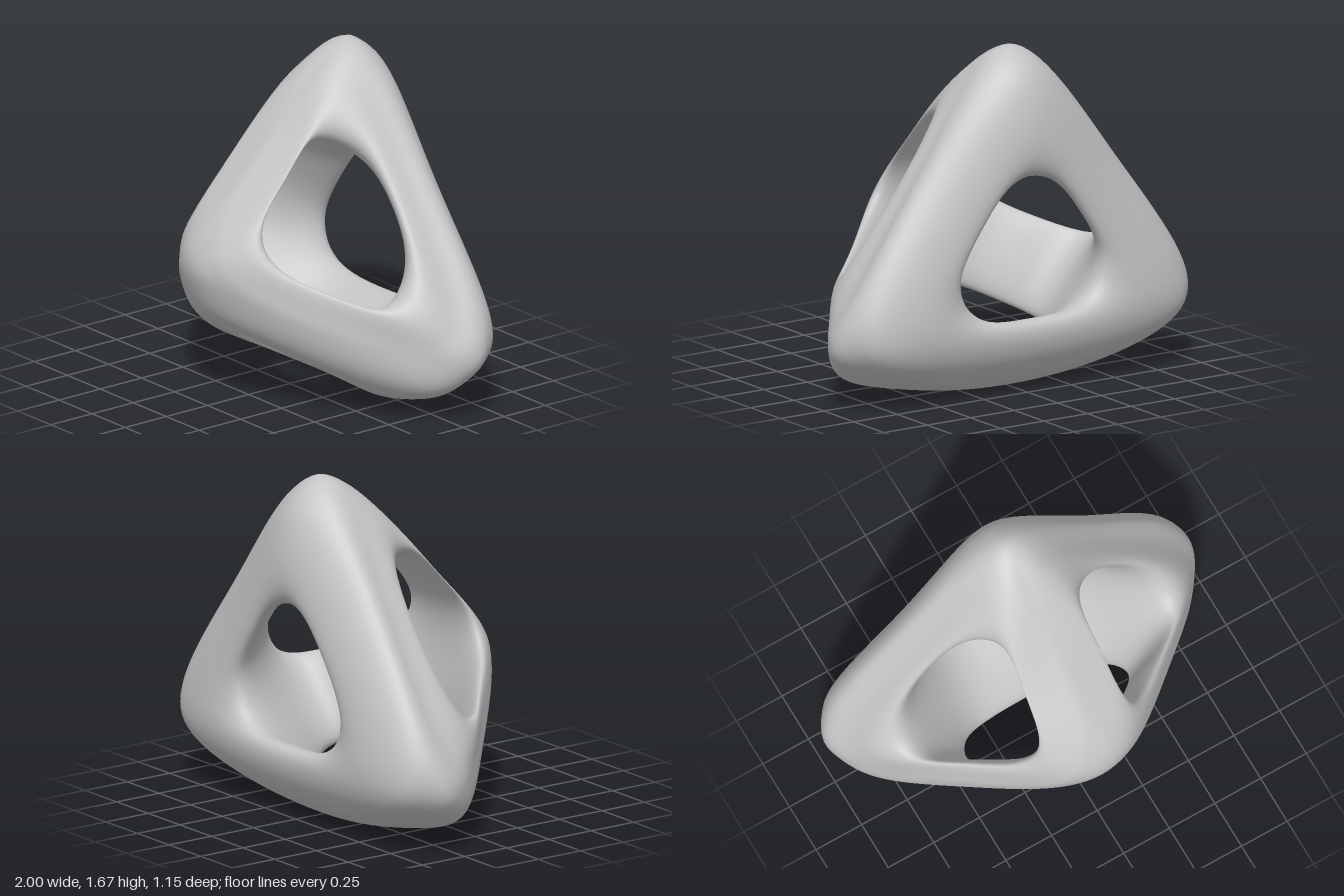
import * as THREE from 'three';

// Corners: T top, R = +x, L = -x, F front. "TR" is the middle of a strut's outer ridge.
// "T/L" and "TR/L" lie on the rim of the hole in the face opposite corner L.
// "T_L" and "TR_L" lie on that face, between ridge and rim.
const ORDER = 'TRLF';
const swapSides = (key) => {
  const [corners, mark = '', face = ''] = key.replace(/[RL]/g, (c) => (c === 'R' ? 'L' : 'R')).split(/([/_])/);
  return [...corners].sort((a, b) => ORDER.indexOf(a) - ORDER.indexOf(b)).join('') + mark + face;
};

const HALF = {
  // corners and ridges
  T: [0, 1.68, -0.37], R: [1, 0.29, -0.37], F: [0, 0.69, 0.565],
  TR: [0.56, 1.07, -0.42], RL: [0, 0.005, -0.34], TF: [0, 1.25, 0.14], RF: [0.57, 0.42, 0.19],
  // side hole
  'T/L': [0.22, 1.27, -0.08], 'R/L': [0.7, 0.61, -0.08], 'F/L': [0.25, 0.83, 0.355],
  'TF/L': [0.19, 1.13, 0.19], 'RF/L': [0.5, 0.625, 0.18], 'TR/L': [0.5, 1.0, -0.215],
  // bottom hole
  'F/T': [0, 0.42, 0.32], 'R/T': [0.39, 0.15, -0.06], 'RL/T': [0, 0.11, -0.16], 'RF/T': [0.33, 0.29, 0.16],
  // back hole
  'T/F': [0, 1.06, -0.52], 'R/F': [0.36, 0.48, -0.52], 'RL/F': [0, 0.37, -0.51], 'TR/F': [0.3, 0.84, -0.51],
  // blunt shoulders around the corners
  T_F: [0, 1.47, -0.55], T_L: [0.14, 1.56, -0.21],
  R_F: [0.82, 0.34, -0.55], R_T: [0.81, 0.11, -0.18], R_L: [0.93, 0.44, -0.22],
  F_T: [0, 0.445, 0.47], F_L: [0.15, 0.77, 0.515],
};

// The four flat faces, each named after the corner opposite: normal and distance
const PLANES = {
  L: [new THREE.Vector3(0.695, 0.5, 0.51), 0.755],
  R: [new THREE.Vector3(-0.695, 0.5, 0.51), 0.755],
  T: [new THREE.Vector3(0, -0.865, 0.5), -0.145],
  F: [new THREE.Vector3(0, 0, -1), 0.55],
};

function buildCage() {
  const points = [], index = {};
  const add = (key, p) => {
    if (key in index) return;
    index[key] = points.length;
    points.push(p);
  };
  for (const [key, [x, y, z]] of Object.entries(HALF)) {
    add(key, new THREE.Vector3(x, y, z));
    add(swapSides(key), new THREE.Vector3(-x, y, z));
  }
  // Points between ridge and rim along the struts, pushed out to the flat face
  for (const key of Object.keys(index).filter((k) => k[2] === '/')) {
    const [edge, face] = key.split('/');
    const [normal, distance] = PLANES[face];
    const p = points[index[edge]].clone().lerp(points[index[key]], 0.5);
    add(`${edge}_${face}`, p.addScaledVector(normal, distance - p.dot(normal)));
  }

  const center = new THREE.Vector3(0, 0.7, -0.15);
  const faces = [];
  // Outer faces look away from the centre, cavity faces towards it
  const addFace = (keys, sign) => {
    const f = keys.map((k) => index[k]);
    const p = f.map((i) => points[i]);
    const mid = p.reduce((s, q) => s.add(q), new THREE.Vector3()).divideScalar(p.length);
    const normal = new THREE.Vector3();
    p.forEach((q, i) => {
      const r = p[(i + 1) % p.length];
      normal.add(q.clone().sub(mid).cross(r.clone().sub(mid)));
    });
    if (normal.dot(mid.sub(center)) * sign < 0) f.reverse();
    faces.push(f);
  };

  // Six struts in two halves: two flat outer sides and one inner side
  for (const edge of ['TR', 'TL', 'TF', 'RL', 'RF', 'LF']) {
    const [c, d] = [...ORDER].filter((k) => !edge.includes(k));
    for (const a of edge) {
      for (const f of [c, d]) {
        addFace([a, edge, `${edge}_${f}`, `${a}_${f}`], 1);
        addFace([`${a}_${f}`, `${edge}_${f}`, `${edge}/${f}`, `${a}/${f}`], 1);
      }
      addFace([`${a}/${c}`, `${edge}/${c}`, `${edge}/${d}`, `${a}/${d}`], -1);
    }
  }
  // Inner side of the four corners
  for (const a of ORDER) {
    addFace([...ORDER].filter((k) => k !== a).map((f) => `${a}/${f}`), -1);
  }
  return { points, faces };
}

// One smoothing subdivision step (Catmull-Clark, closed mesh)
function subdivide({ points, faces }) {
  const n = points.length;
  const facePoints = faces.map((f) =>
    f.reduce((s, i) => s.add(points[i]), new THREE.Vector3()).divideScalar(f.length));
  const edges = new Map();
  const edgeKey = (a, b) => (a < b ? a * n + b : b * n + a);
  const faceSum = points.map(() => new THREE.Vector3());
  const edgeSum = points.map(() => new THREE.Vector3());
  const valence = new Array(n).fill(0);

  faces.forEach((f, fi) => f.forEach((a, i) => {
    const b = f[(i + 1) % f.length];
    const k = edgeKey(a, b);
    if (!edges.has(k)) edges.set(k, { a, b, sum: new THREE.Vector3(), id: n + faces.length + edges.size });
    edges.get(k).sum.add(facePoints[fi]);
    faceSum[a].add(facePoints[fi]);
    valence[a]++;
  }));

  const edgePoints = [];
  for (const { a, b, sum } of edges.values()) {
    const ends = points[a].clone().add(points[b]);
    edgePoints.push(ends.clone().add(sum).multiplyScalar(0.25));
    ends.multiplyScalar(0.5);
    edgeSum[a].add(ends);
    edgeSum[b].add(ends);
  }
  const moved = points.map((p, i) => {
    const v = valence[i];
    return p.clone().multiplyScalar((v - 3) / v)
      .addScaledVector(faceSum[i], 1 / (v * v))
      .addScaledVector(edgeSum[i], 2 / (v * v));
  });

  const quads = [];
  faces.forEach((f, fi) => f.forEach((a, i) => {
    const next = f[(i + 1) % f.length];
    const prev = f[(i + f.length - 1) % f.length];
    quads.push([a, edges.get(edgeKey(a, next)).id, n + fi, edges.get(edgeKey(prev, a)).id]);
  }));
  return { points: [...moved, ...facePoints, ...edgePoints], faces: quads };
}

function smooth(mesh, levels) {
  for (let i = 0; i < levels; i++) mesh = subdivide(mesh);
  return mesh;
}

function frameGeometry() {
  const cage = buildCage();
  const targets = cage.points.map((p) => p.clone());
  // Push the cage outwards until the smoothed surface passes near its target points
  for (let i = 0; i < 7; i++) {
    const { points } = smooth(cage, 3);
    cage.points.forEach((p, j) => p.add(targets[j]).sub(points[j]));
  }
  const { points, faces } = smooth(cage, 4);
  const geometry = new THREE.BufferGeometry().setFromPoints(points);
  geometry.setIndex(faces.flatMap(([a, b, c, d]) => [a, b, c, a, c, d]));
  geometry.computeVertexNormals();
  return geometry;
}

export function createModel() {
  const group = new THREE.Group();
  group.name = 'roundedTetrahedronFrame';
  const grey = new THREE.MeshStandardMaterial({ color: 0xc4c4c4 });
  grey.name = 'grey';
  const frame = new THREE.Mesh(frameGeometry(), grey);
  frame.name = 'frame';
  group.add(frame);
  return group;
}
